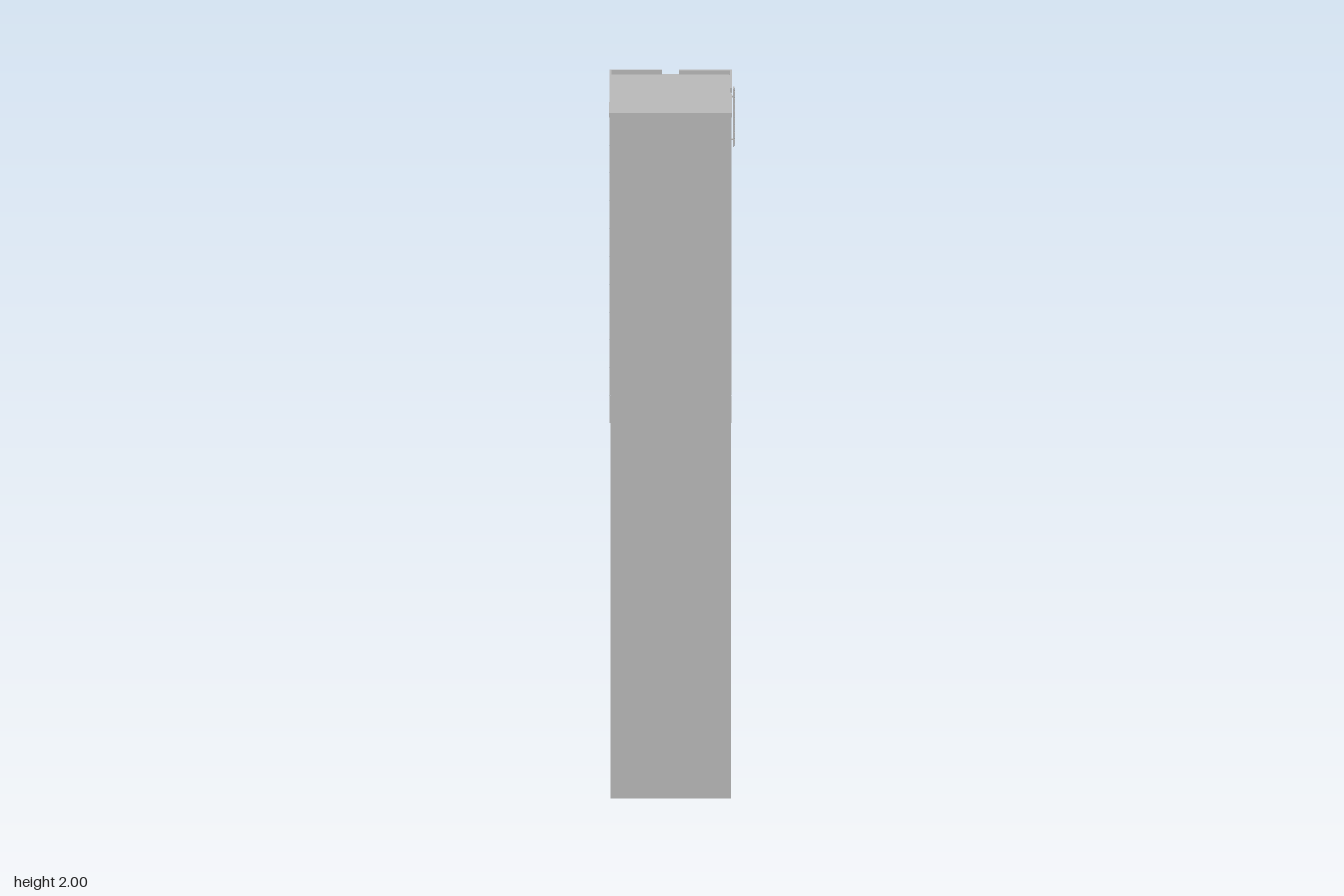
import * as THREE from 'three';

export function createModel() {
  const group = new THREE.Group();
  const concrete = new THREE.MeshStandardMaterial({ color: 0xbcbcbc, side: THREE.DoubleSide });
  concrete.name = 'concreteGrey';

  // Box given by its minimum and maximum corners
  const block = (name, x0, x1, y0, y1, z0, z1, parent = group) => {
    const mesh = new THREE.Mesh(new THREE.BoxGeometry(x1 - x0, y1 - y0, z1 - z0), concrete);
    mesh.position.set((x0 + x1) / 2, (y0 + y1) / 2, (z0 + z1) / 2);
    mesh.name = name;
    parent.add(mesh);
    return mesh;
  };

  // Open four-sided wall band, without floor or ceiling
  const shell = (name, x0, x1, y0, y1, z0, z1, parent = group) => {
    const mesh = block(name, x0, x1, y0, y1, z0, z1, parent);
    const g = mesh.geometry;
    const sides = g.groups.filter((s) => s.materialIndex !== 2 && s.materialIndex !== 3);
    const index = [];
    sides.forEach((s) => {
      for (let i = s.start; i < s.start + s.count; i++) index.push(g.index.getX(i));
    });
    g.setIndex(index);
    g.clearGroups();
  };

  // Tower shaft, hollow and open at the ground
  const roofY = 1.987;
  shell('towerShaft', -0.169, 0.16, 0, roofY, -0.159, 0.17);

  // Storeys of the upper half, with fine joints between them
  const storeys = new THREE.Group();
  storeys.name = 'upperStoreys';
  group.add(storeys);
  const count = 11, base = 1.095, step = (roofY - base) / count;
  for (let i = 0; i < count; i++) {
    const y = base + i * step;
    shell('storey' + (i + 1), -0.1705, 0.1615, y, y + step - 0.0015, -0.1605, 0.1715, storeys);
  }

  // Flat roof
  block('roof', -0.1705, 0.1615, roofY - 0.003, roofY, -0.1605, 0.1715);

  // Parapet with a gap at the back and one on the +x side
  const parapet = new THREE.Group();
  parapet.name = 'parapet';
  group.add(parapet);
  const x0 = -0.172, x1 = 0.163, z0 = -0.162, z1 = 0.173, t = 0.006, low = roofY - 0.001;
  block('parapetFront', x0, x1, low, 2, z1 - t, z1, parapet);
  block('parapetSide', x0, x0 + t, low, 2, z0, z1 - t, parapet);
  block('parapetBackA', x0 + t, -0.028, low, 2, z0, z0 + t, parapet);
  block('parapetBackB', 0.018, x1, low, 2, z0, z0 + t, parapet);
  block('parapetSideA', x1 - t, x1, low, 2, z0 + t, -0.018, parapet);
  block('parapetSideB', x1 - t, x1, low, 2, 0.029, z1 - t, parapet);

  // Vertical sign on the back corner, with its small brackets
  const sign = new THREE.Group();
  sign.name = 'cornerSign';
  group.add(sign);
  block('signPanel', 0.1655, 0.1685, 1.775, 1.945, -0.175, -0.159, sign);
  for (let i = 0; i < 2; i++) {
    const y = 1.795 + i * 0.125;
    block('signBracket', 0.16, 0.166, y, y + 0.004, -0.163, -0.159, sign);
  }
  // Raised studs along the sign face
  for (let i = 0; i < 8; i++) {
    const y = 1.783 + i * 0.02;
    block('signStud', 0.1685, 0.17, y, y + 0.013, -0.172, -0.162, sign);
  }

  return group;
}
